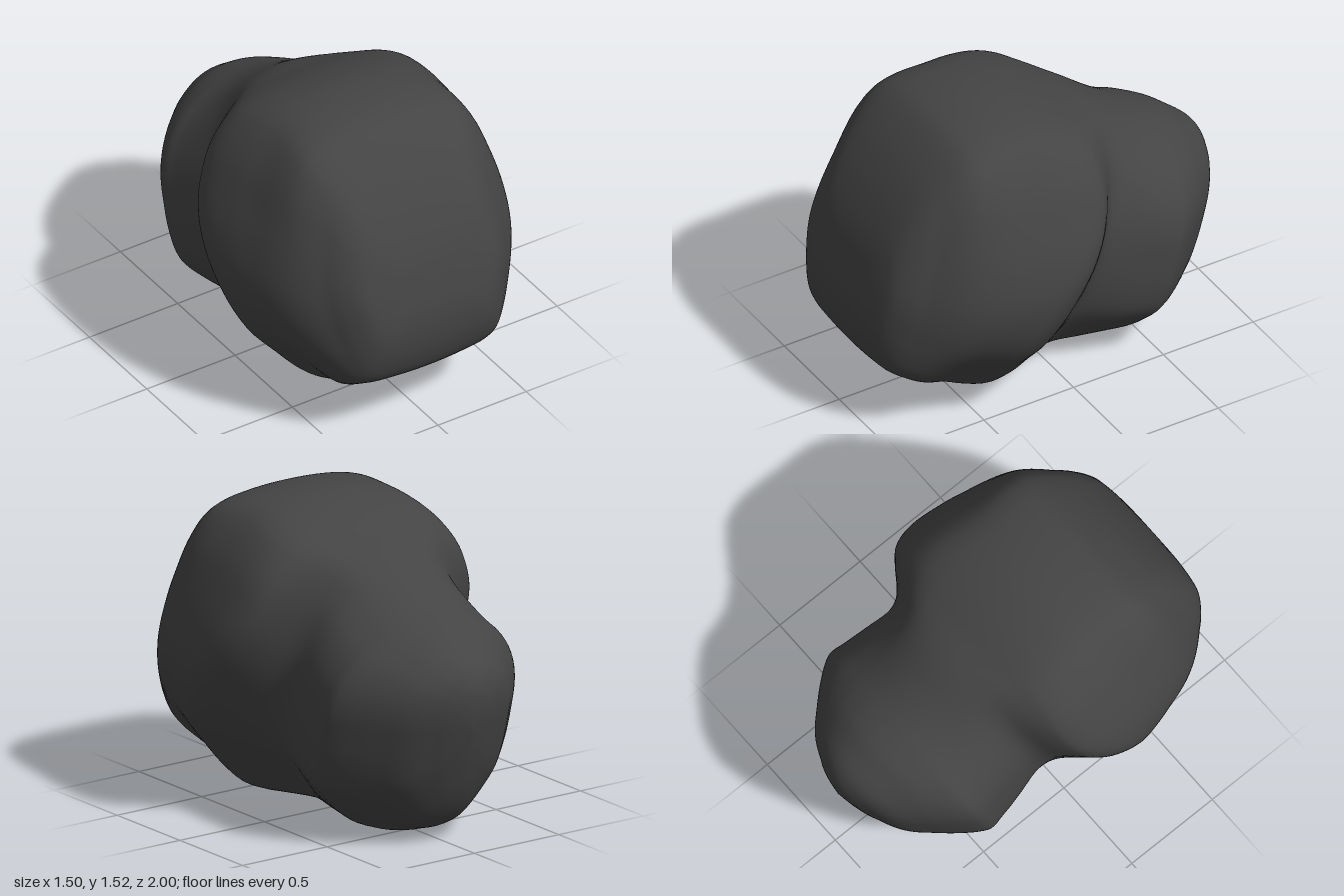
import * as THREE from 'three';

// Slanted cross-sections from back to front:
// [position, bottom, top, half width, height of widest point]
const SECTIONS = [
  [-1.005, 0.60, 0.62, 0.0, 0.61],
  [-0.99, 0.40, 0.74, 0.08, 0.60],
  [-0.955, 0.20, 0.84, 0.17, 0.59],
  [-0.89, 0.08, 0.92, 0.29, 0.58],
  [-0.79, 0.034, 0.99, 0.39, 0.58],
  [-0.71, 0.008, 1.04, 0.46, 0.58],
  [-0.63, 0.003, 1.075, 0.52, 0.58],
  [-0.57, 0.003, 1.10, 0.548, 0.58],
  [-0.48, 0.008, 1.14, 0.535, 0.60],
  [-0.35, 0.018, 1.21, 0.515, 0.64],
  [-0.20, 0.035, 1.30, 0.50, 0.69],
  [-0.12, 0.033, 1.34, 0.53, 0.72],
  [0.00, 0.028, 1.39, 0.645, 0.76],
  [0.09, 0.023, 1.43, 0.72, 0.77],
  [0.20, 0.025, 1.472, 0.75, 0.77],
  [0.35, 0.068, 1.512, 0.735, 0.77],
  [0.48, 0.125, 1.525, 0.705, 0.77],
  [0.62, 0.195, 1.515, 0.66, 0.78],
  [0.73, 0.26, 1.48, 0.60, 0.80],
  [0.84, 0.33, 1.365, 0.505, 0.81],
  [0.92, 0.45, 1.22, 0.435, 0.82],
  [0.97, 0.58, 1.07, 0.36, 0.82],
  [0.992, 0.69, 0.95, 0.22, 0.82],
  [0.998, 0.81, 0.83, 0.0, 0.82],
];

// Half outlines from bottom to top, as fractions of width and height
const BACK = [
  [0, -1], [0.2, -0.985], [0.4, -0.94], [0.55, -0.86], [0.76, -0.69], [0.93, -0.5], [0.99, -0.27], [1, 0],
  [0.985, 0.25], [0.91, 0.48], [0.75, 0.7], [0.52, 0.86], [0.37, 0.93], [0.2, 0.98], [0, 1],
];
const MIDDLE = [
  [0, -1], [0.25, -0.98], [0.43, -0.94], [0.53, -0.86], [0.69, -0.68], [0.87, -0.46], [0.965, -0.24], [1, 0],
  [0.965, 0.24], [0.88, 0.47], [0.77, 0.69], [0.61, 0.875], [0.48, 0.945], [0.27, 0.985], [0, 1],
];
const FRONT = [
  [0, -1], [0.36, -0.985], [0.62, -0.95], [0.75, -0.88], [0.86, -0.68], [0.93, -0.46], [0.98, -0.24], [1, 0],
  [0.98, 0.24], [0.93, 0.48], [0.86, 0.7], [0.75, 0.87], [0.62, 0.94], [0.36, 0.985], [0, 1],
];
const SLANT = 0.27;
const RING = 112;
const STEPS = 5;

// Mirrored smooth outline at a position along the body
function outlineAt(u) {
  const back = 1 - THREE.MathUtils.smoothstep(u, -0.45, 0.0);
  const front = THREE.MathUtils.smoothstep(u, 0.4, 0.85);
  const half = MIDDLE.map((m, i) => new THREE.Vector3(
    m[0] + back * (BACK[i][0] - m[0]) + front * (FRONT[i][0] - m[0]),
    m[1] + back * (BACK[i][1] - m[1]) + front * (FRONT[i][1] - m[1]), 0));
  const mirrored = half.slice(1, -1).reverse().map(p => new THREE.Vector3(-p.x, p.y, 0));
  return new THREE.CatmullRomCurve3([...half, ...mirrored], true);
}

// Closed loft of the outlines, leaning back towards the top
function bodyGeometry() {
  const heights = new THREE.CatmullRomCurve3(SECTIONS.map(s => new THREE.Vector3(s[0], s[1], s[2])));
  const widths = new THREE.CatmullRomCurve3(SECTIONS.map(s => new THREE.Vector3(s[0], s[3], s[4])));
  const rows = (SECTIONS.length - 1) * STEPS;
  const positions = [], indices = [];

  for (let i = 0; i <= rows; i++) {
    const { x: u, y: bottom, z: top } = heights.getPoint(i / rows);
    const { y: width, z: mid } = widths.getPoint(i / rows);
    const outline = outlineAt(u);
    // the rear edge of the large end leans a little more along its sides
    const lean = 0.08 * Math.exp(-(((u - 0.15) / 0.22) ** 2));
    for (let j = 0; j < RING; j++) {
      const p = outline.getPoint(j / RING);
      const y = mid + (p.y >= 0 ? top - mid : mid - bottom) * p.y;
      const z = u - SLANT * (y - 0.7) - lean * Math.sin(Math.PI * p.y);
      positions.push(Math.max(width, 0) * p.x, y, z);
    }
  }
  for (let i = 0; i < rows; i++) {
    for (let j = 0; j < RING; j++) {
      const a = i * RING + j, b = i * RING + (j + 1) % RING;
      indices.push(a, b, b + RING, a, b + RING, a + RING);
    }
  }

  const geometry = new THREE.BufferGeometry();
  geometry.setAttribute('position', new THREE.Float32BufferAttribute(positions, 3));
  geometry.setIndex(indices);
  geometry.computeVertexNormals();

  // stand on the ground, centred front to back
  geometry.computeBoundingBox();
  const { min, max } = geometry.boundingBox;
  geometry.translate(0, -min.y, -(min.z + max.z) / 2);
  return geometry;
}

export function createModel() {
  const group = new THREE.Group();
  group.name = 'roundedBody';
  const charcoal = new THREE.MeshStandardMaterial({ color: 0x444444 });
  charcoal.name = 'charcoal';
  const body = new THREE.Mesh(bodyGeometry(), charcoal);
  body.name = 'body';
  group.add(body);
  return group;
}
